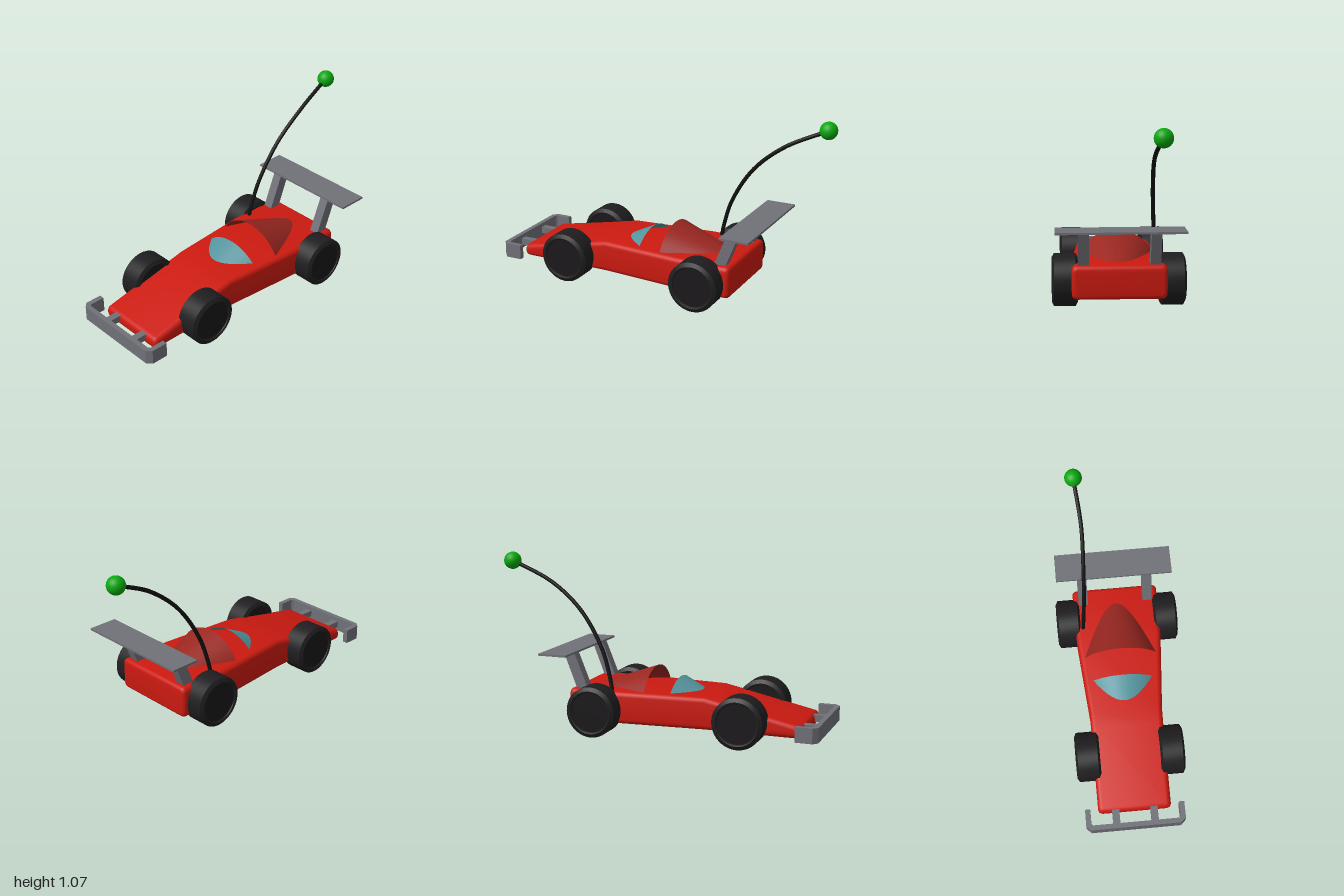
import * as THREE from 'three';
import { toCreasedNormals } from 'three/addons/utils/BufferGeometryUtils.js';

const mat = (color) => new THREE.MeshStandardMaterial({ color });
const RED = mat(0xcc1a10), DARK_RED = mat(0x992620), GREY = mat(0x707078);
const TEAL = mat(0x55949e), TYRE = mat(0x1f1d1f), HUB = mat(0x1a181a);
const BLACK = mat(0x111111), GREEN = mat(0x0aa80f);
DARK_RED.side = TEAL.side = THREE.DoubleSide;

const DECK = 0.265;

function add(parent, name, geometry, material, x = 0, y = 0, z = 0) {
  const mesh = new THREE.Mesh(geometry, material);
  mesh.name = name;
  mesh.position.set(x, y, z);
  parent.add(mesh);
  return mesh;
}

// Joins rings of points running towards +x; closed rings also get end caps
function loft(rings, closed, crease = 0.6) {
  const n = rings[0].length, pos = rings.flat(2), index = [];
  for (let i = 0; i < rings.length - 1; i++) {
    for (let j = 0; j < (closed ? n : n - 1); j++) {
      const k = (j + 1) % n;
      const a = i * n + j, b = i * n + k, c = b + n, d = a + n;
      index.push(a, d, c, a, c, b);
    }
  }
  if (closed) {
    const last = (rings.length - 1) * n;
    for (let j = 1; j < n - 1; j++) {
      index.push(0, j, j + 1, last, last + j + 1, last + j);
    }
  }
  const g = new THREE.BufferGeometry();
  g.setAttribute('position', new THREE.Float32BufferAttribute(pos, 3));
  g.setIndex(index);
  return toCreasedNormals(g, crease);
}

// Rounded rectangle across the body at x
function bodyRing(x, halfWidth, top, inset) {
  const r = 0.03 - inset * 0.5, ring = [];
  const w = halfWidth - inset - r, y1 = top - inset - r, y0 = 0.07 + inset + r;
  for (let q = 0; q < 4; q++) {
    for (let s = 0; s <= 5; s++) {
      const a = (q + s / 5) * Math.PI / 2;
      const sz = q === 0 || q === 3 ? w : -w;
      ring.push([x, (q < 2 ? y1 : y0) + r * Math.sin(a), sz + r * Math.cos(a)]);
    }
  }
  return ring;
}

function bodyGeometry() {
  const b = 0.025, rings = [], steps = 5;
  const edge = (s) => {
    const a = s / steps * Math.PI / 2;
    return [b * (1 - Math.sin(a)), b * (1 - Math.cos(a))];
  };
  for (let s = steps; s >= 0; s--) { // rounded nose
    const [inset, dx] = edge(steps - s);
    rings.push(bodyRing(-0.89 + dx, 0.225, 0.142 + dx * 0.2, inset));
  }
  rings.push(bodyRing(-0.39, 0.225, 0.247, 0), bodyRing(-0.3, 0.226, DECK, 0));
  rings.push(bodyRing(0.2, 0.268, DECK, 0));
  for (let s = steps; s >= 0; s--) { // rounded tail
    const [inset, dx] = edge(s);
    rings.push(bodyRing(0.545 - dx, 0.272, DECK, inset));
  }
  // order each end by x so the rounding runs outwards
  rings.sort((p, q) => p[0][0] - q[0][0]);
  return loft(rings, true, 0.5);
}

// Open shell: the part above the deck of a cone lying along x
function coneShell(tipX, rimX, height, halfWidth) {
  const offset = (halfWidth ** 2 + height ** 2) / (2 * height) - height;
  const rings = [];
  for (let i = 0; i <= 20; i++) {
    const t = (i / 20) ** 2;
    const r = offset + height * t, half = Math.acos(Math.min(1, offset / r));
    const ring = [];
    for (let j = 0; j <= 32; j++) {
      const a = half * (1 - j / 16);
      ring.push([tipX + (rimX - tipX) * t, DECK - offset + r * Math.cos(a), r * Math.sin(a)]);
    }
    rings.push(ring);
  }
  if (tipX > rimX) rings.reverse();
  return loft(rings, false, 1);
}

function wheel(name, x, z) {
  const group = new THREE.Group();
  group.name = name;
  const half = [[0.118, 0.064], [0.122, 0.072], [0.13, 0.075], [0.153, 0.062]];
  const profile = [...half.map(([r, h]) => [r, -h]), ...half.reverse().map(([r, h]) => [r, h])];
  const tyre = new THREE.LatheGeometry(profile.map(([r, h]) => new THREE.Vector2(r, h)), 48);
  add(group, 'tyre', toCreasedNormals(tyre, 0.4), TYRE);
  add(group, 'hub', new THREE.CylinderGeometry(0.12, 0.12, 0.132, 48), HUB);
  group.rotation.x = Math.PI / 2;
  group.position.set(x, 0.153, z);
  return group;
}

// Extrudes an outline, given as corner pairs
function extrude(points, depth) {
  const shape = new THREE.Shape(points.map(([x, y]) => new THREE.Vector2(x, y)));
  return new THREE.ExtrudeGeometry(shape, { depth, bevelEnabled: false });
}

export function createModel() {
  const car = new THREE.Group();
  car.name = 'raceCar';

  add(car, 'body', bodyGeometry(), RED);
  add(car, 'windshield', coneShell(-0.225, -0.08, 0.07, 0.185), TEAL);
  add(car, 'engineCowl', coneShell(0.43, 0.075, 0.125, 0.225), DARK_RED);

  for (const side of [1, -1]) {
    const label = side > 0 ? 'Front' : 'Back';
    car.add(wheel('noseWheel' + label, -0.535, side * 0.26));
    car.add(wheel('tailWheel' + label, 0.36, side * 0.31));
    // bumper bracket
    add(car, 'bumperBracket' + label, new THREE.BoxGeometry(0.11, 0.04, 0.045), GREY,
      -0.927, 0.12, side * 0.118);
    // slanted wing strut
    add(car, 'wingStrut' + label,
      extrude([[0.43, 0.25], [0.503, 0.25], [0.592, 0.475], [0.522, 0.475]], 0.06),
      GREY, 0, 0, side * 0.205 - 0.03);
  }

  // bumper bar with chamfered corners and returned ends
  const outer = [[-0.87, 0.305], [-0.972, 0.305], [-1, 0.275]];
  const inner = [[-0.97, 0.262], [-0.96, 0.273], [-0.87, 0.273]];
  const mirror = (pts) => pts.map(([x, z]) => [x, -z]).reverse();
  const bumper = extrude([...outer, ...mirror(outer), ...mirror(inner), ...inner], 0.09);
  add(car, 'bumper', bumper.rotateX(-Math.PI / 2), GREY, 0, 0.075, 0);

  add(car, 'rearWing', new THREE.BoxGeometry(0.18, 0.012, 0.73), GREY, 0.61, 0.478, 0);

  // whip antenna
  const path = new THREE.CatmullRomCurve3([
    [0.277, 0.24, -0.222], [0.298, 0.34, -0.215], [0.355, 0.51, -0.202],
    [0.495, 0.73, -0.187], [0.69, 0.895, -0.18], [0.945, 1.02, -0.203],
  ].map((p) => new THREE.Vector3(...p)));
  add(car, 'antenna', new THREE.TubeGeometry(path, 48, 0.012, 12), BLACK);
  add(car, 'antennaBall', new THREE.SphereGeometry(0.053, 32, 20), GREEN, 0.945, 1.02, -0.203);

  return car;
}
